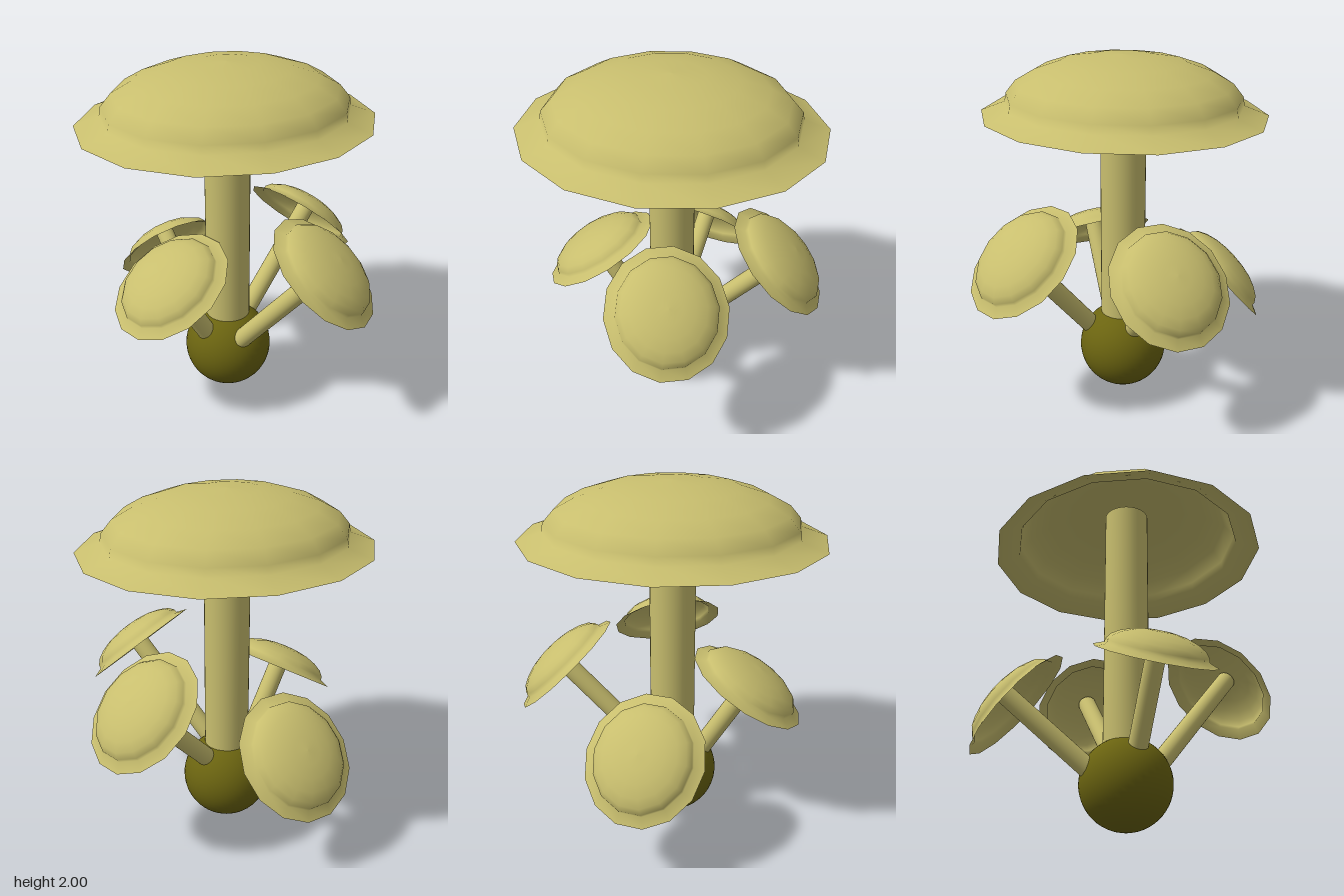
import * as THREE from 'three';

const capMat = new THREE.MeshStandardMaterial({ color: 0xc8be6e, side: THREE.DoubleSide });
const stemMat = new THREE.MeshStandardMaterial({ color: 0xc8be6e });
const bulbMat = new THREE.MeshStandardMaterial({ color: 0x6b6410 });

// Cap profile (radius, height above rim), from the flared lip up to the crown
const PROFILE = [
  [0.78, 0], [0.648, 0.052], [0.64, 0.1], [0.585, 0.17], [0.48, 0.232],
  [0.335, 0.283], [0.17, 0.311], [0, 0.32],
].map(([r, y]) => new THREE.Vector2(r, y));

// A mushroom whose origin is the centre of the cap rim; the stem runs down local -y
function mushroom(name, scale, stemLength) {
  const group = new THREE.Group();
  group.name = name;

  // Thin open cap with 14 sides, slightly deeper than wide
  const cap = new THREE.Mesh(new THREE.LatheGeometry(PROFILE, 14, Math.PI / 2), capMat);
  cap.name = name + 'Cap';
  cap.scale.set(scale, scale, scale * 1.085);
  group.add(cap);

  // Stem reaches up inside the hollow cap
  const top = 0.27 * scale;
  const radius = 0.128 * scale;
  const stem = new THREE.Mesh(
    new THREE.CylinderGeometry(radius, radius, stemLength + top, 32), stemMat);
  stem.name = name + 'Stem';
  stem.position.y = (top - stemLength) / 2;
  group.add(stem);
  return group;
}

export function createModel() {
  const model = new THREE.Group();
  model.name = 'mushroomCluster';

  // Round bulb at the base
  const bulb = new THREE.Mesh(new THREE.SphereGeometry(0.255, 40, 28), bulbMat);
  bulb.name = 'bulb';
  bulb.position.set(-0.04, 0.256, 0.025);
  model.add(bulb);

  // Tall central mushroom
  const main = mushroom('mainMushroom', 1, 1.33);
  main.position.set(-0.04, 1.68, 0.025);
  model.add(main);

  // Leaning small mushrooms: rim centre, leaning axis, stem length below the rim
  const small = [
    ['frontMushroom', [-0.04, 0.822, 0.458], [0, 0.848, 0.53], 0.55],
    ['backMushroom', [-0.04, 0.9, -0.598], [0, 0.717, -0.697], 0.75],
    ['leftMushroom', [0.595, 0.945, -0.09], [0.632, 0.775, -0.24], 0.8],
    ['rightMushroom', [-0.64, 0.653, -0.045], [-0.749, 0.663, -0.16], 0.58],
  ];
  for (const [name, pos, axis, length] of small) {
    const [ax, ay, az] = axis;
    const m = mushroom(name, 0.427, length);
    m.position.set(...pos);
    // Turn to the leaning direction, then tilt outward
    m.rotation.set(Math.atan2(Math.hypot(ax, az), ay), Math.atan2(ax, az), 0, 'YXZ');
    model.add(m);
  }
  return model;
}
